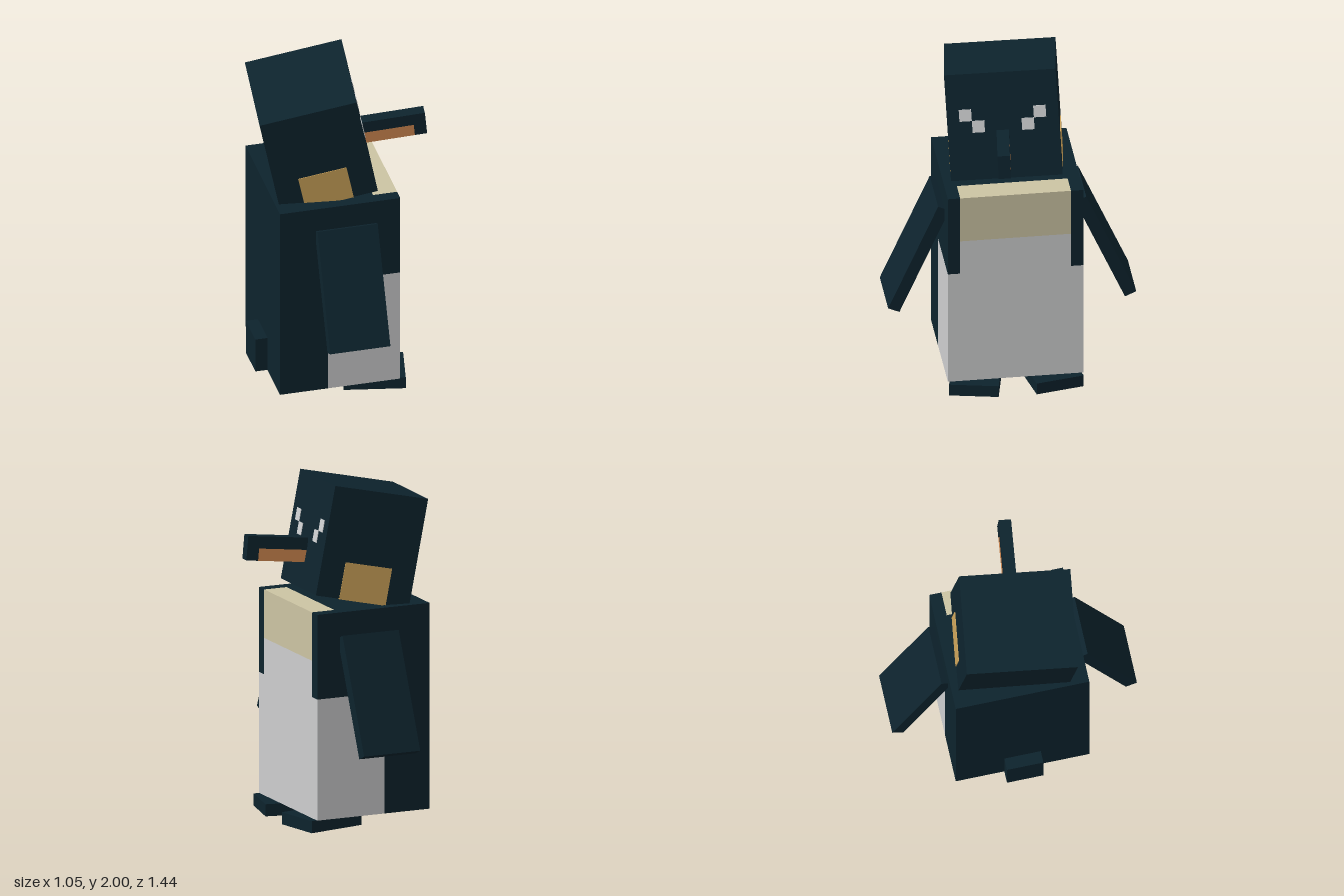
import * as THREE from 'three';

const P = 1 / 14; // block unit

const mat = (name, color) => {
  const m = new THREE.MeshStandardMaterial({ color });
  m.name = name;
  return m;
};

export function createModel() {
  const dark = mat('dark navy', 0x0d232d);
  const white = mat('white', 0xcdcecf);
  const cream = mat('cream', 0xccc4a3);
  const yellow = mat('cheek yellow', 0xcba259);
  const orange = mat('beak orange', 0xcf8750);

  const model = new THREE.Group();
  model.name = 'penguin';

  const group = (name, parent = model) => {
    const g = new THREE.Group();
    g.name = name;
    parent.add(g);
    return g;
  };
  // box between two corners, given in block units
  const box = (parent, name, material, [x0, y0, z0], [x1, y1, z1]) => {
    const m = new THREE.Mesh(
      new THREE.BoxGeometry((x1 - x0) * P, (y1 - y0) * P, (z1 - z0) * P), material);
    m.position.set((x0 + x1) / 2 * P, (y0 + y1) / 2 * P, (z0 + z1) / 2 * P);
    m.name = name;
    parent.add(m);
    return m;
  };
  // turn a group so that its local x and z follow the given directions
  const orient = (g, x, z) => {
    const X = new THREE.Vector3(...x).normalize();
    const Y = new THREE.Vector3(...z).cross(X).normalize();
    const Z = new THREE.Vector3().crossVectors(X, Y);
    g.quaternion.setFromRotationMatrix(new THREE.Matrix4().makeBasis(X, Y, Z));
  };

  // body, facing +x
  const body = group('body');
  box(body, 'back', dark, [-6, 1, -5.5], [-2, 18, 5.5]);
  box(body, 'shoulders', dark, [-2, 11, -5.5], [2, 18, 5.5]);
  box(body, 'belly', white, [-2, 1, -5.5], [4, 11, 5.5]);
  box(body, 'chest', white, [2, 11, -4.5], [4, 14, 4.5]);
  box(body, 'collar', cream, [2, 14, -4.5], [4, 18, 4.5]);
  box(body, 'tail', dark, [-7, 1, -1.5], [-6, 4, 1.5]);

  // paired parts
  for (const s of [-1, 1]) {
    box(body, 'chestEdge', dark, [2, 11, s > 0 ? 4.5 : -5.5], [4, 18, s > 0 ? 5.5 : -4.5]);

    const wing = group(s > 0 ? 'rearSideWing' : 'farSideWing');
    wing.name = 'wing';
    wing.position.set(-0.036, 0.815, s * 0.542);
    wing.rotation.x = -s * 0.418;
    box(wing, 'wingBlade', dark, [-2.5, -5, -0.5], [2.5, 5, 0.5]);

    const foot = group('foot');
    foot.position.set(0.173, 0, s * 0.215);
    foot.rotation.y = -s * 0.2;
    box(foot, 'footBlock', dark, [-2.5, 0, -2], [2.5, 1, 2]);
  }

  // turned and raised head
  const head = group('head');
  head.position.set(-0.143, 1.608, 0.013);
  orient(head, [0.55, 0.115, 0.075], [-0.08, -0.04, 0.63]);
  box(head, 'skull', dark, [-4, -4.5, -4.5], [4, 4.5, 4.5]);

  const t = 0.05; // painted plate thickness
  for (const s of [-1, 1]) {
    for (const [name, y, z] of [['outerEyePatch', 1, 3], ['innerEyePatch', 0, 2]])
      box(head, name, white, [4, y - 0.5, s * z - 0.5], [4 + t, y + 0.5, s * z + 0.5]);
    const c = s * (4.5 + t / 2);
    box(head, 'cheek', yellow, [-2, -4.5, c - t / 2], [2, -1.5, c + t / 2]);
    box(head, 'cheekUnderside', yellow, [-2, -4.5 - t, s * 4 - 0.5], [2, -4.5, s * 4 + 0.5]);
  }

  // beak, local x along its length
  const beak = group('beak');
  beak.position.set(0.335, 1.587, 0.075);
  orient(beak, [0.987, 0.1, 0.12], [-0.125, -0.05, 0.99]);
  box(beak, 'upperBeak', dark, [-2.6, 0, -0.5], [2.5, 1, 0.5]);
  box(beak, 'beakTip', dark, [1.5, -1, -0.5], [2.5, 0, 0.5]);
  box(beak, 'lowerBeak', orange, [-2.6, -1, -0.5], [1.5, 0, 0.5]);

  return model;
}
